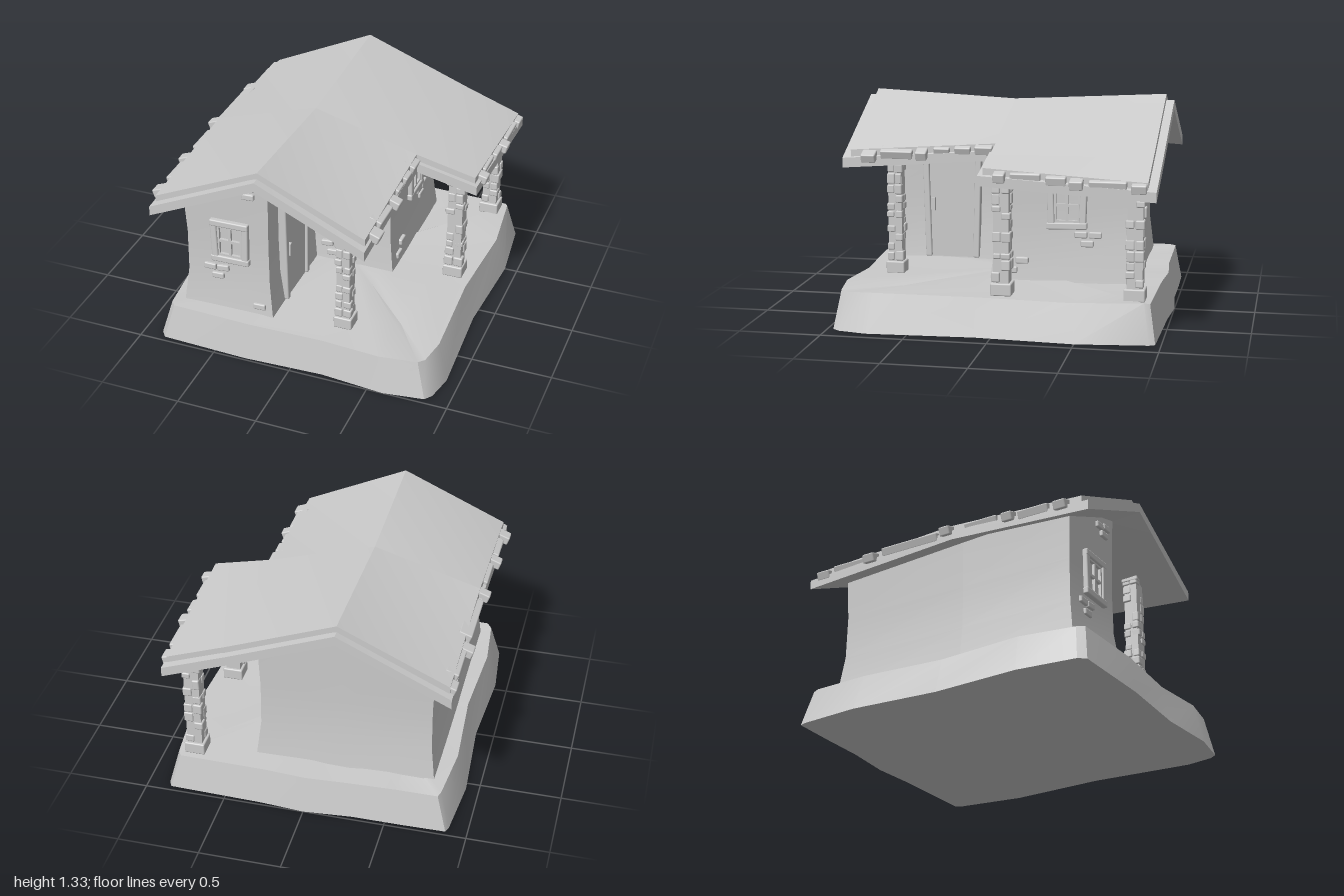
import * as THREE from 'three';
import { RoundedBoxGeometry } from 'three/addons/geometries/RoundedBoxGeometry.js';
import { toCreasedNormals } from 'three/addons/utils/BufferGeometryUtils.js';

const mat = new THREE.MeshStandardMaterial({ color: 0xcccccc });
let seed = 7;
const rnd = (a, b) => {
  seed = (seed * 16807) % 2147483647;
  return a + (b - a) * (seed / 2147483647);
};

function add(parent, name, geometry, x = 0, y = 0, z = 0, rz = 0) {
  const m = new THREE.Mesh(geometry, mat);
  m.name = name;
  m.position.set(x, y, z);
  m.rotation.z = rz;
  parent.add(m);
  return m;
}
const box = (w, h, d) => new THREE.BoxGeometry(w, h, d);
const stone = (w, h, d) => new RoundedBoxGeometry(w, h, d, 1, 0.008);

function meshData(pos, idx) {
  const g = new THREE.BufferGeometry();
  g.setAttribute('position', new THREE.Float32BufferAttribute(pos, 3));
  g.setIndex(idx);
  return toCreasedNormals(g, 0.45);
}

// Skin between rings of [x, y, z] (clockwise seen from above), optionally capped
function loft(rings, capped) {
  const n = rings[0].length, idx = [], pos = rings.flat(2);
  for (let r = 0; r < rings.length - 1; r++)
    for (let i = 0; i < n; i++) {
      const a = r * n + i, b = r * n + (i + 1) % n;
      idx.push(a, a + n, b, b, a + n, b + n);
    }
  if (capped) {
    const last = (rings.length - 1) * n, c = rings.length * n;
    pos.push(0, 0, 0, 0, rings.at(-1)[0][1], 0);
    for (let i = 0; i < n; i++) {
      const j = (i + 1) % n;
      idx.push(c, i, j, c + 1, last + j, last + i);
    }
  }
  return meshData(pos, idx);
}

// Height of the sagging roof surface
function roofTop(x, z) {
  const t = Math.abs(z - 0.07) / 0.95, front = z > 0.07;
  const xs = [-0.87, -0.19, 0.48, 0.86];
  const ys = [1.075 - 0.06 * t, 1.28 + 0.05 * t, 1.085 - (front ? 0.07 : 0.01) * t, 1.0 - 0.06 * t];
  const i = x < xs[1] ? 0 : x < xs[2] ? 1 : 2;
  return ys[i] + (ys[i + 1] - ys[i]) * (x - xs[i]) / (xs[i + 1] - xs[i]);
}

// Slab that follows the roof surface between two depths below it
function roofSlab(xs, zs, up, down) {
  const pos = [], idx = [], nx = xs.length, nz = zs.length, n = nx * nz;
  for (const drop of [up, down])
    for (const z of zs) for (const x of xs) pos.push(x, roofTop(x, z) - drop, z);
  const quad = (a, b, c, d) => idx.push(a, c, b, a, d, c);
  for (let j = 0; j < nz - 1; j++)
    for (let i = 0; i < nx - 1; i++) {
      const a = j * nx + i;
      quad(a, a + 1, a + 1 + nx, a + nx);
      quad(a + n, a + n + nx, a + n + 1 + nx, a + n + 1);
    }
  for (let i = 0; i < nx - 1; i++) {
    const b = (nz - 1) * nx + i;
    quad(i, i + n, i + 1 + n, i + 1);
    quad(b, b + 1, b + 1 + n, b + n);
  }
  for (let j = 0; j < nz - 1; j++) {
    const l = j * nx, r = l + nx - 1;
    quad(l, l + nx, l + nx + n, l + n);
    quad(r, r + n, r + nx + n, r + nx);
  }
  return meshData(pos, idx);
}

// Four-pane window facing +z, with slightly crooked frame bars
function makeWindow() {
  const g = new THREE.Group();
  g.name = 'window';
  for (const s of [-1, 1]) {
    add(g, 'windowJamb', stone(0.042, 0.29, 0.05), s * 0.1, 0, 0.005, s * -0.03);
    add(g, 'windowRail', stone(0.25, 0.042, 0.055), 0, s * 0.126, 0.005, 0.02);
    add(g, 'sashSide', box(0.016, 0.22, 0.03), s * 0.075, 0, 0.004);
    add(g, 'sashRail', box(0.16, 0.016, 0.03), 0, s * 0.1, 0.004);
  }
  add(g, 'mullion', box(0.018, 0.22, 0.028), 0, 0, 0.004);
  add(g, 'crossBar', box(0.16, 0.018, 0.028), 0, 0, 0.004);
  return g;
}

function makeDoor() {
  const g = new THREE.Group();
  g.name = 'door';
  add(g, 'doorLeaf', box(0.3, 0.69, 0.04), 0, 0.345, 0.008);
  for (const s of [-1, 1]) add(g, 'doorJamb', stone(0.04, 0.7, 0.07), s * 0.165, 0.35, 0.012, s * -0.025);
  add(g, 'doorLintel', stone(0.36, 0.045, 0.075), 0, 0.695, 0.012, 0.015);
  add(g, 'doorHandle', box(0.025, 0.085, 0.03), -0.125, 0.345, 0.035);
  return g;
}

// Porch post with irregular stones standing out of a core
function makePost(x, z, w) {
  const g = new THREE.Group();
  g.name = 'porchPost';
  const top = roofTop(x, z) - 0.08;
  add(g, 'postCore', box(w * 0.85, top - 0.2, w * 0.85), x, (top + 0.2) / 2, z);
  add(g, 'postFoot', stone(w * 1.15, 0.075, w * 1.15), x, 0.265, z);
  for (let y = 0.305; y < top - 0.04;) {
    const h = rnd(0.04, 0.075);
    for (const [sx, sz] of [[1, 1], [1, -1], [-1, 1], [-1, -1]]) {
      if (rnd(0, 1) < 0.3) continue;
      add(g, 'postStone', stone(w * rnd(0.4, 0.55), h * rnd(0.75, 1), w * rnd(0.4, 0.55)),
        x + sx * w * rnd(0.22, 0.29), y + h / 2, z + sz * w * rnd(0.22, 0.29), rnd(-0.06, 0.06));
    }
    y += h;
  }
  add(g, 'postCap', stone(w * 1.1, 0.045, w * 1.1), x, top - 0.02, z);
  return g;
}

export function createModel() {
  const root = new THREE.Group();
  root.name = 'cottage';

  // Rocky base with chamfered corners and an uneven floor
  const outline = [[-0.87, -0.97], [-0.6, -0.975], [-0.3, -0.975], [0, -1], [0.27, -0.98], [0.85, -0.965],
    [0.87, -0.93], [0.92, -0.5], [0.885, 0.1], [0.92, 0.75], [0.885, 0.92], [0.85, 0.965], [0.6, 1], [0.2, 0.965],
    [-0.3, 0.985], [-0.85, 0.965], [-0.885, 0.92], [-0.92, 0.55], [-0.885, 0], [-0.92, -0.55], [-0.885, -0.93]];
  const ring = (sx, sz, y, wob) => outline.map(([x, z], i) => [x * sx, y + wob * Math.sin(i * 2.3), z * sz]);
  add(root, 'base', loft([ring(1, 1, 0, 0), ring(0.93, 0.96, 0.23, 0.005),
    ring(0.65, 0.65, 0.228, 0.012), ring(0.3, 0.3, 0.23, 0.004)], true));

  // L-shaped walls, flared at the foot: [x, z, outward x, outward z]
  const plan = [[-0.73, -0.76, -1, -1], [-0.19, -0.76, 0, -1], [0.315, -0.76, 1, -1], [0.315, 0.08, 1, 1],
    [-0.2, 0.08, 1, 1], [-0.2, 0.8, 1, 1], [-0.73, 0.8, -1, 1], [-0.73, 0.08, -1, 0]];
  const level = (y, f) => plan.map(([x, z, ox, oz]) => [x + ox * f, y ?? roofTop(x, z) - 0.07, z + oz * f]);
  add(root, 'walls', loft([level(0.2, 0.032), level(0.45, 0.003), level(0.72, 0), level(null, 0.012)], false));

  // Roof: lower boards and upper covering; the back half reaches out over the porch
  const roof = new THREE.Group();
  roof.name = 'roof';
  root.add(roof);
  add(roof, 'backRoofBoards', roofSlab([-0.87, -0.19, 0.48, 0.86], [-0.96, 0.08], 0.04, 0.1));
  add(roof, 'frontRoofBoards', roofSlab([-0.87, -0.19, 0.48], [0.08, 1], 0.04, 0.1));
  add(roof, 'backRoofCover', roofSlab([-0.85, -0.19, 0.48, 0.84], [-0.91, 0.05], 0, 0.045));
  add(roof, 'frontRoofCover', roofSlab([-0.85, -0.19, 0.465], [0.05, 0.95], 0, 0.045));

  // Ragged shingles along the eaves: [z, length, overhang]
  const eave = (x, s, slope, list) => list.forEach(([z, len, out]) =>
    add(roof, 'eaveShingle', stone(0.085, 0.055, len), x + s * (out - 0.04), roofTop(x, z) - 0.022 - out * 0.35, z, -s * slope));
  eave(-0.86, -1, 0.36, [[-0.86, 0.09, 0.02], [-0.65, 0.27, 0.01], [-0.5, 0.08, 0.05], [-0.22, 0.4, 0.02],
    [0.05, 0.07, 0.05], [0.28, 0.22, 0.01], [0.48, 0.07, 0.05], [0.64, 0.2, 0.02], [0.83, 0.08, 0.05]]);
  eave(0.47, 1, 0.36, [[0.12, 0.11, 0.02], [0.25, 0.1, 0.015], [0.38, 0.1, 0.01], [0.5, 0.07, 0.05],
    [0.66, 0.2, 0.02], [0.83, 0.09, 0.05]]);
  eave(0.845, 1, 0.24, [[-0.05, 0.07, 0.045], [-0.2, 0.18, 0.01], [-0.38, 0.12, 0.02], [-0.5, 0.08, 0.045],
    [-0.68, 0.22, 0.015], [-0.86, 0.09, 0.025]]);

  // Windows and door
  const frontWindow = makeWindow();
  frontWindow.position.set(-0.445, 0.71, 0.8);
  const sideWindow = makeWindow();
  sideWindow.position.set(0.315, 0.7, -0.365);
  sideWindow.rotation.y = Math.PI / 2;
  const door = makeDoor();
  door.position.set(-0.195, 0.24, 0.46);
  door.rotation.y = Math.PI / 2;
  root.add(frontWindow, sideWindow, door);

  // Exposed wall bricks
  for (const [x, y, z] of [[-0.585, 0.505, 0.8], [-0.5, 0.508, 0.8], [-0.535, 0.447, 0.8], [-0.26, 0.29, 0.815],
    [-0.37, 1.1, 0.807], [-0.285, 1.12, 0.807], [-0.315, 1.06, 0.807],
    [-0.1, 0.345, 0.095], [-0.015, 0.347, 0.095], [-0.06, 0.285, 0.1]])
    add(root, 'wallBrick', stone(0.08, 0.04, 0.04), x, y, z, rnd(0, 0.12));
  for (const [x, y, z] of [[0.315, 0.52, -0.45], [0.315, 0.52, -0.54], [0.315, 0.465, -0.49], [0.33, 0.35, -0.09],
    [0.333, 0.29, -0.02], [0.315, 0.84, -0.18], [-0.195, 1.02, 0.6]])
    add(root, 'wallBrick', stone(0.04, 0.04, 0.08), x, y, z);

  // Porch posts
  root.add(makePost(0.26, 0.72, 0.1), makePost(0.71, -0.04, 0.11), makePost(0.71, -0.83, 0.11));
  return root;
}
